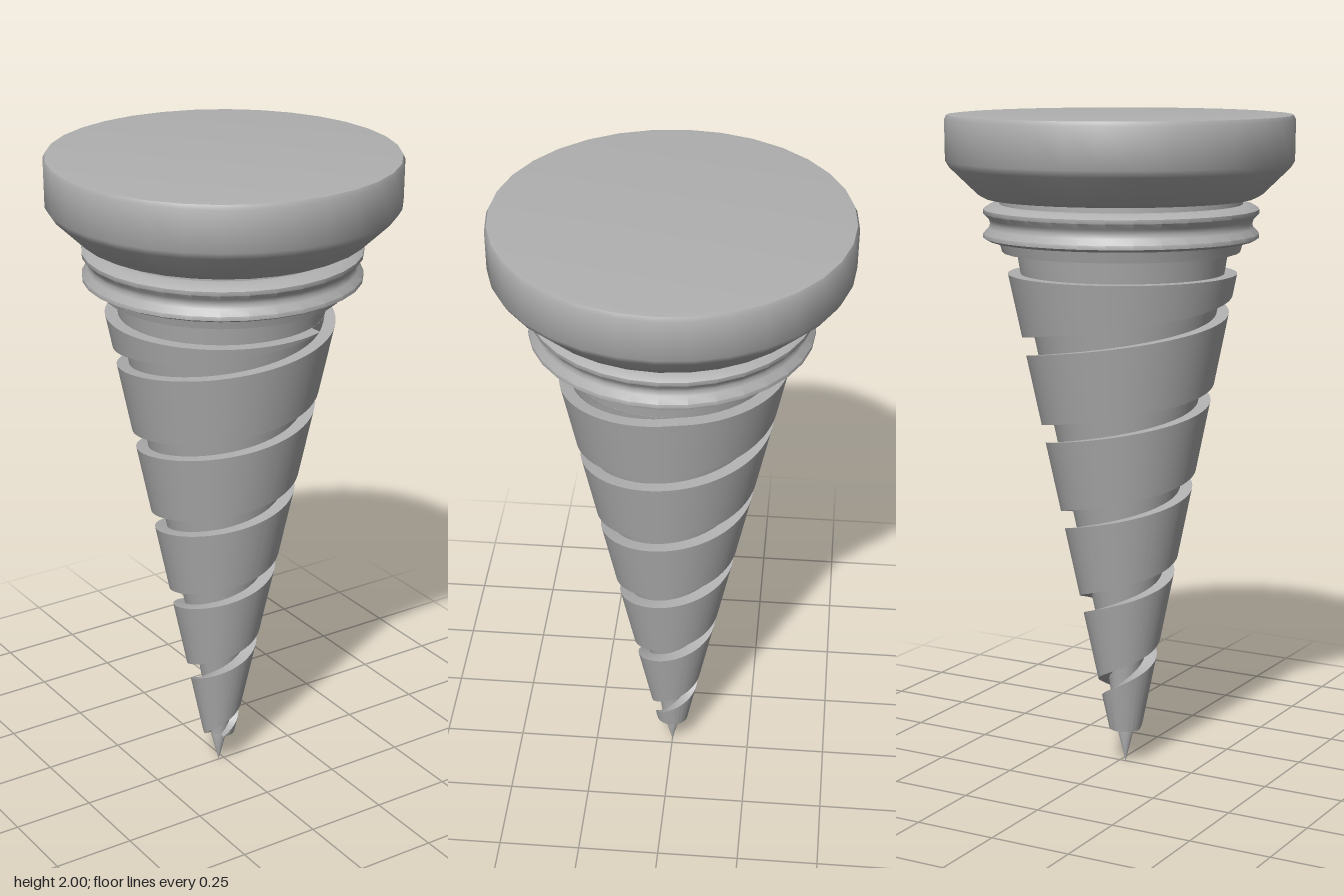
import * as THREE from 'three';
import { toCreasedNormals } from 'three/addons/utils/BufferGeometryUtils.js';

const steel = new THREE.MeshStandardMaterial({ color: 0xb0b0b0 });
steel.name = 'grey steel';

const BOTTOM = 0.11, TOP = 1.53;      // ends of the fluted cone
const PITCH = 0.267, GROOVE = 0.055;  // helix rise per turn, groove height
const axisX = (y) => -0.02 + 0.0075 * y; // the drill leans very slightly
const outer = (y) => 0.05 + 0.206 * (y - BOTTOM);
const core = (y) => outer(y) - Math.min(0.037, 0.4 * outer(y));

function addMesh(group, name, geometry, crease = 0.6) {
  const mesh = new THREE.Mesh(toCreasedNormals(geometry, crease), steel);
  mesh.name = name;
  group.add(mesh);
  return mesh;
}

// Turned part from [radius, y] pairs listed bottom to top
function turned(profile, sides = 32) {
  return new THREE.LatheGeometry(profile.map(([r, y]) => new THREE.Vector2(r, y)), sides);
}

// Vertical section of the cone at turn t (0..1), with the helical groove cut out
function section(t) {
  const clamp = (y) => Math.min(TOP, Math.max(BOTTOM, y));
  const pts = [[0, BOTTOM]];
  const first = 0.19 - PITCH + GROOVE + PITCH * t;
  pts.push([first > BOTTOM && first - GROOVE <= BOTTOM ? core(BOTTOM) : outer(BOTTOM), BOTTOM]);
  for (let k = -1; k <= 5; k++) {
    const low = 0.19 + PITCH * (k + t), high = low + GROOVE;
    const yl = clamp(low), yh = clamp(high);
    const opensBelow = low <= BOTTOM && high > BOTTOM;
    const pastTop = high - PITCH >= TOP;
    pts.push([opensBelow || pastTop ? core(yl) : outer(yl), yl]);
    pts.push([core(yl), yl], [core(yh), yh]);
    pts.push([high >= TOP ? core(yh) : outer(yh), yh]);
  }
  pts.push([0, TOP]);
  return pts;
}

function flutedCone(columns = 128) {
  const positions = [], indices = [];
  let rows = 0;
  for (let i = 0; i <= columns; i++) {
    const a = (i / columns) * Math.PI * 2;
    const pts = section(i / columns);
    rows = pts.length;
    for (const [r, y] of pts) positions.push(axisX(y) + r * Math.cos(a), y, -r * Math.sin(a));
  }
  for (let i = 0; i < columns; i++) {
    for (let j = 0; j < rows - 1; j++) {
      const a = i * rows + j, b = a + rows;
      indices.push(a, b, b + 1, a, b + 1, a + 1);
    }
  }
  const g = new THREE.BufferGeometry();
  g.setAttribute('position', new THREE.Float32BufferAttribute(positions, 3));
  g.setIndex(indices);
  return g;
}

export function createModel() {
  const model = new THREE.Group();
  model.name = 'drillCone';

  // Pointed tip
  const tip = addMesh(model, 'tip', turned([[0, 0], [0.027, 0.11], [0.02, 0.16], [0, 0.16]], 16));
  tip.position.x = axisX(0);

  // Cone with a spiral groove
  addMesh(model, 'spiralBody', flutedCone());

  // Bare core between the spiral and the collar
  const neck = addMesh(model, 'neck', turned([[0.30, 1.5], [0.318, 1.61]], 48));
  neck.position.x = axisX(1.55);

  // Collar with two rounded ridges
  const collar = addMesh(model, 'ridgedCollar', turned([
    [0, 1.595], [0.355, 1.595], [0.365, 1.63], [0.395, 1.63], [0.411, 1.638], [0.411, 1.65],
    [0.394, 1.667], [0.39, 1.68], [0.394, 1.693], [0.411, 1.71], [0.411, 1.722],
    [0.39, 1.735], [0.362, 1.737], [0.362, 1.76],
  ]), 0.8);
  collar.position.x = -0.004;

  // Broad cap with a chamfered underside
  addMesh(model, 'cap', turned([
    [0, 1.755], [0.402, 1.755], [0.422, 1.765], [0.505, 1.845], [0.517, 1.865],
    [0.518, 1.985], [0.512, 1.998], [0.49, 2], [0, 2],
  ]), 1.0);

  return model;
}
